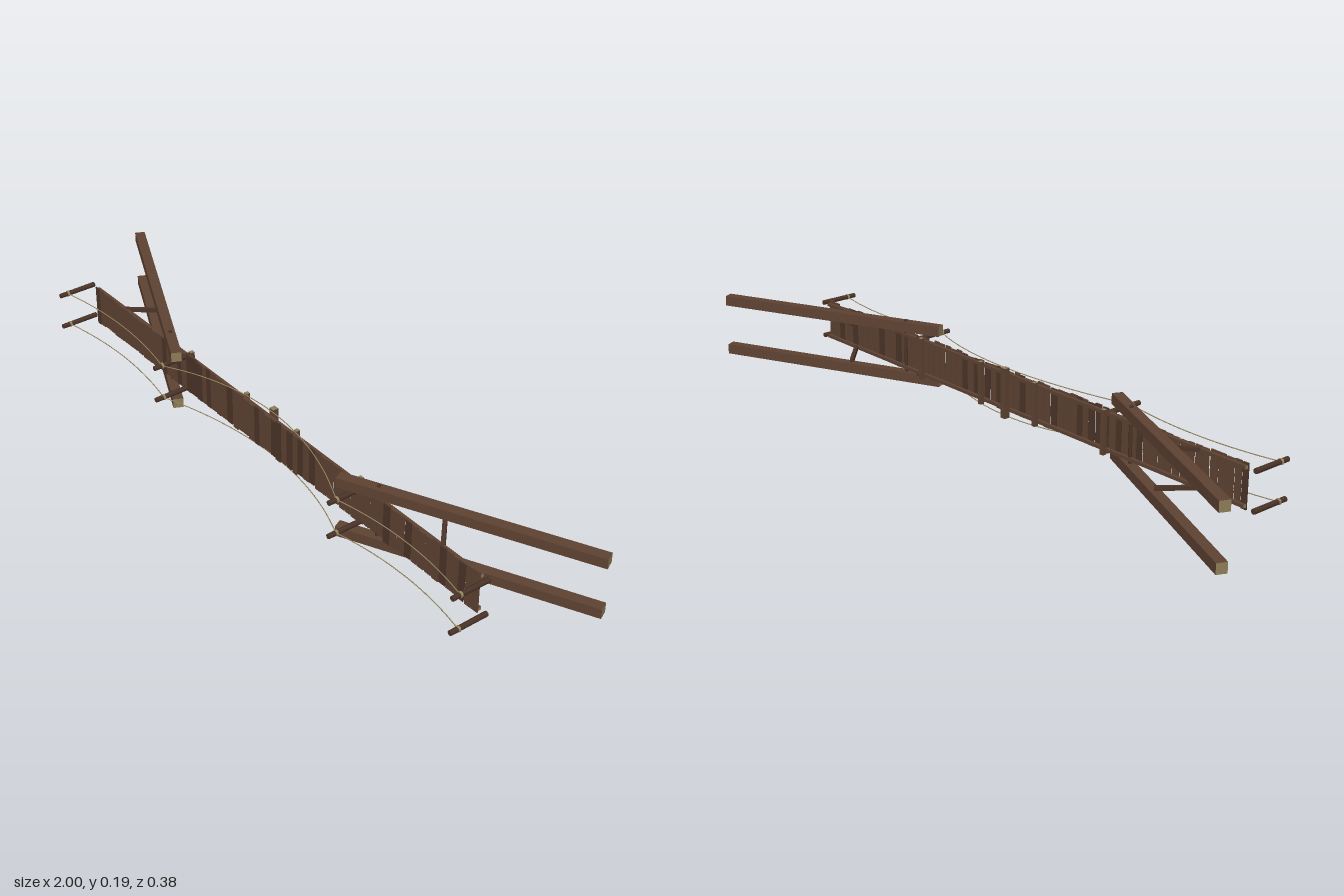
import * as THREE from 'three';

const mat = (name, color) => {
  const m = new THREE.MeshStandardMaterial({ color });
  m.name = name;
  return m;
};

export function createModel() {
  const model = new THREE.Group();
  model.name = 'plankBridge';
  const wood = mat('brownWood', 0x5e4232);
  const dark = mat('darkWood', 0x4b3428);
  const cut = mat('cutWood', 0x8f7d58);
  const rope = mat('rope', 0x9a8a62);

  let seed = 7;
  const rnd = () => (seed = (seed * 16807) % 2147483647) / 2147483647;
  const MID = 0.097; // centre line of the deck in y

  const add = (name, geo, material, x, y, z, parent = model) => {
    const m = new THREE.Mesh(geo, material);
    m.name = name;
    m.position.set(x, y, z);
    parent.add(m);
    return m;
  };
  const box = (name, w, h, d, material, x, y, z) =>
    add(name, new THREE.BoxGeometry(w, h, d), material, x, y, z);

  // square timber between two points, its local x along the run
  const timber = (name, a, b, t, sideMat, endMat) => {
    const dir = b.clone().sub(a);
    const m = add(name, new THREE.BoxGeometry(dir.length(), t, t),
      [endMat, endMat, sideMat, sideMat, sideMat, sideMat], 0, 0, 0);
    m.position.copy(a).add(b).multiplyScalar(0.5);
    m.quaternion.setFromUnitVectors(new THREE.Vector3(1, 0, 0), dir.normalize());
    return m;
  };
  const v = (x, y, z) => new THREE.Vector3(x, y, z);

  // deck planks with uneven widths and lengths
  let x = -0.84;
  while (x < 0.82) {
    const w = 0.017 + rnd() * 0.007;
    const p = box('plank', w, 0.11 + rnd() * 0.012, 0.004, rnd() < 0.3 ? dark : wood,
      x + w / 2, MID + (rnd() - 0.5) * 0.005, 0.0825);
    p.rotation.z = (rnd() - 0.5) * 0.03;
    x += w + 0.0025 + rnd() * 0.003;
  }

  // stringers under the deck
  for (const s of [-1, 1]) {
    timber('stringer', v(-0.84, MID + s * 0.05, 0.0755), v(0.83, MID + s * 0.05, 0.0755), 0.009, wood, cut);
  }

  // cross ties, with a longer one in the middle
  for (const tx of [-0.37, -0.11, 0.11, 0.37]) {
    timber('crossTie', v(tx, MID - 0.062, 0.066), v(tx, MID + 0.062, 0.066), 0.012, wood, cut);
  }
  timber('middleTie', v(0.005, 0.026, 0.062), v(0.005, 0.17, 0.062), 0.017, wood, cut);

  for (const s of [-1, 1]) {
    // long slanted beams above and below, each with pale cut ends
    for (const y of [0.0205, 0.1725]) {
      timber('longBeam', v(s * 0.994, y + 0.0015, -0.174), v(s * 0.356, y - 0.0015, 0.126), 0.029, wood, cut);
    }
    // pivot rod through both beams
    add('pivotRod', new THREE.CylinderGeometry(0.005, 0.005, 0.19, 8), dark, s * 0.455, 0.096, 0.078);
    // braces from deck to beams
    for (const u of [-1, 1]) {
      timber('brace', v(s * 0.692, MID + u * 0.05, 0.075), v(s * 0.615, MID + u * 0.056, 0.0), 0.011, dark, dark);
    }
  }

  // rope posts with lashings
  const postX = [-0.87, -0.375, 0.395, 0.85];
  const postY = [0.044, 0.148];
  for (const px of postX) {
    for (const py of postY) {
      const post = add('post', new THREE.CylinderGeometry(0.007, 0.0075, 0.116, 8), dark, px, py, 0.13);
      post.rotation.x = Math.PI / 2;
      const band = add('lashing', new THREE.CylinderGeometry(0.0085, 0.0085, 0.006, 8), rope, px, py, 0.162);
      band.rotation.x = Math.PI / 2;
    }
  }

  // sagging hand ropes between the posts
  for (const py of postY) {
    const out = Math.sign(py - MID);
    for (let i = 0; i < 3; i++) {
      const a = postX[i], b = postX[i + 1];
      const sag = i === 1 ? 0.09 : 0.027;
      const bow = i === 1 ? 0.017 : 0;
      const pts = [];
      for (let k = 0; k <= 8; k++) {
        const t = k / 8, c = 4 * t * (1 - t);
        pts.push(v(a + (b - a) * t, py + out * bow * c, 0.162 - sag * c));
      }
      add('handRope', new THREE.TubeGeometry(new THREE.CatmullRomCurve3(pts), 32, 0.0014, 5), rope, 0, 0, 0);
    }
  }
  return model;
}
